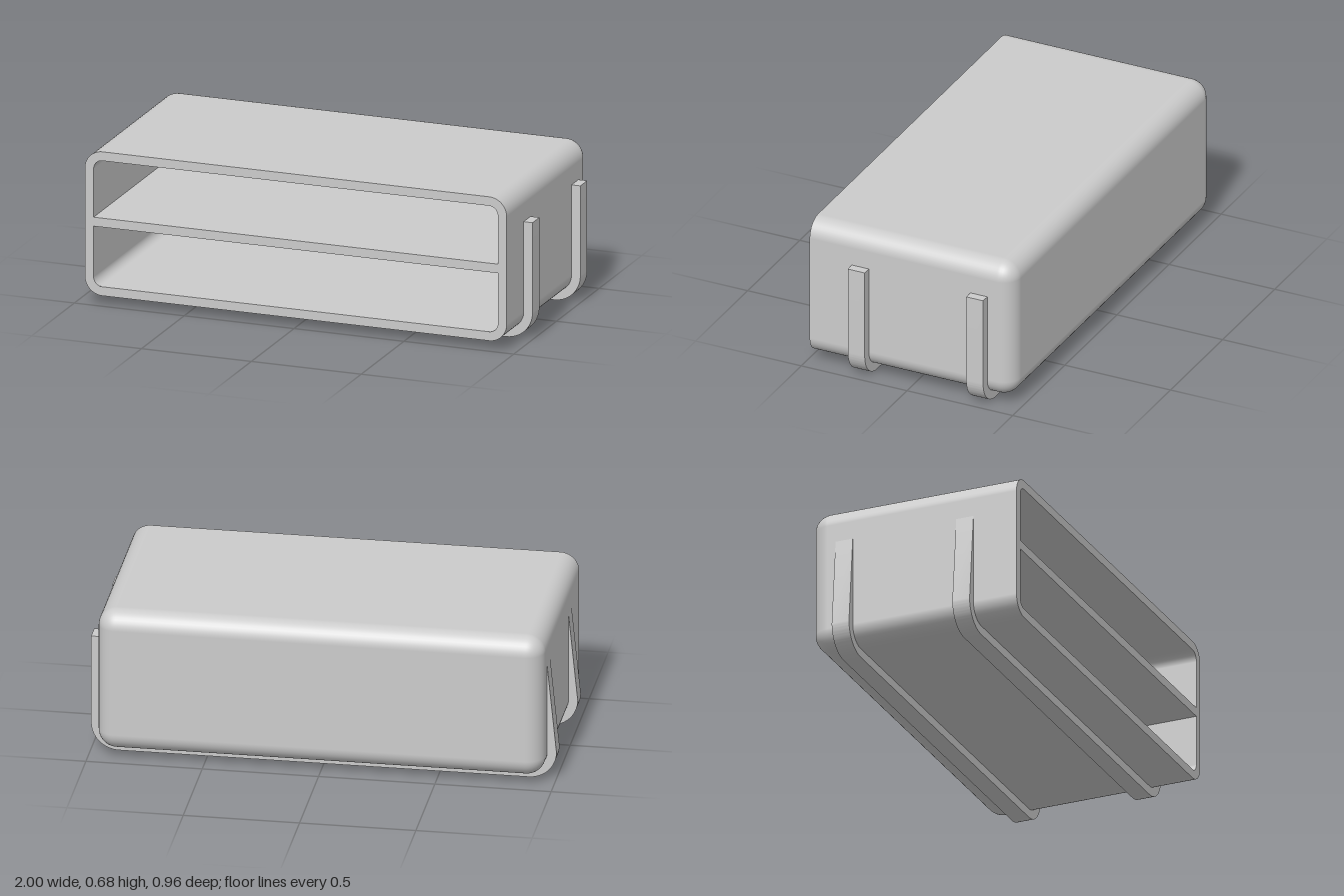
import * as THREE from 'three';
import { toCreasedNormals } from 'three/addons/utils/BufferGeometryUtils.js';

const MID_Y = 0.36;            // height of the box centre
const FRONT = 0.48, BACK = -0.48, WALL = 0.04;
const HALF_W = 0.96, HALF_H = 0.32, RADIUS = 0.08;
const material = new THREE.MeshStandardMaterial({ color: 0xcccccc });

// Surface of a box open at the front, rounded on its long edges and around the back.
function tubGeometry(hw, hh, r, back, inward) {
  const steps = 10, pos = [], nor = [], idx = [];
  const s = inward ? -1 : 1;
  const add = (x, y, z, nx, ny, nz) => {
    pos.push(x, y, z);
    nor.push(s * nx, s * ny, s * nz);
  };
  const tri = (a, b, c) => (inward ? idx.push(a, c, b) : idx.push(a, b, c));
  const perRing = 4 * (steps + 1), rings = steps + 2;
  for (let j = 0; j < rings; j++) {
    const phi = (Math.max(j - 1, 0) / steps) * Math.PI / 2;
    const z = j === 0 ? FRONT : back + r - r * Math.sin(phi);
    for (let corner = 0; corner < 4; corner++) {
      const cx = (corner === 0 || corner === 3 ? 1 : -1) * (hw - r);
      const cy = (corner < 2 ? 1 : -1) * (hh - r);
      for (let k = 0; k <= steps; k++) {
        const t = (corner + k / steps) * Math.PI / 2;
        const nx = Math.cos(phi) * Math.cos(t), ny = Math.cos(phi) * Math.sin(t);
        add(cx + r * nx, cy + r * ny, z, nx, ny, -Math.sin(phi));
      }
    }
  }
  const centre = perRing * rings;
  add(0, 0, back, 0, 0, -1);
  for (let i = 0; i < perRing; i++) {
    const n = (i + 1) % perRing;
    for (let j = 0; j < rings - 1; j++) {
      const a = j * perRing + i, b = j * perRing + n;
      tri(a, a + perRing, b);
      tri(b, a + perRing, b + perRing);
    }
    const last = (rings - 1) * perRing;
    tri(centre, last + n, last + i);
  }
  const g = new THREE.BufferGeometry();
  g.setAttribute('position', new THREE.Float32BufferAttribute(pos, 3));
  g.setAttribute('normal', new THREE.Float32BufferAttribute(nor, 3));
  g.setIndex(idx);
  return g;
}

// Rounded rectangle centred on the origin
function roundedRect(path, hw, hh, r) {
  const q = Math.PI / 2;
  path.absarc(hw - r, hh - r, r, 0, q);
  path.absarc(r - hw, hh - r, r, q, 2 * q);
  path.absarc(r - hw, r - hh, r, 2 * q, 3 * q);
  path.absarc(hw - r, r - hh, r, 3 * q, 4 * q);
  path.closePath();
  return path;
}

// U-shaped strap that hugs the sides and bottom of the box
function strapGeometry(width) {
  const top = 0.52, out = HALF_W + WALL, R = RADIUS + WALL, q = Math.PI / 2;
  const u = new THREE.Shape();
  u.moveTo(-out, top);
  u.absarc(R - out, R, R, 2 * q, 3 * q);
  u.absarc(out - R, R, R, 3 * q, 4 * q);
  u.lineTo(out, top);
  u.lineTo(HALF_W, top);
  u.absarc(out - R, R, RADIUS, 4 * q, 3 * q, true);
  u.absarc(R - out, R, RADIUS, 3 * q, 2 * q, true);
  u.lineTo(-HALF_W, top);
  u.closePath();
  const g = new THREE.ExtrudeGeometry(u, { depth: width, bevelEnabled: false, curveSegments: 16 });
  return toCreasedNormals(g, 0.5);
}

export function createModel() {
  const model = new THREE.Group();
  model.name = 'twoCompartmentBox';
  const add = (name, geometry, y, z) => {
    const mesh = new THREE.Mesh(geometry, material);
    mesh.name = name;
    mesh.position.set(0, y, z);
    model.add(mesh);
  };
  const iw = HALF_W - WALL, ih = HALF_H - WALL, ir = RADIUS - WALL;

  // Shell: outside, inside and the rim joining them
  add('outerShell', tubGeometry(HALF_W, HALF_H, RADIUS, BACK, false), MID_Y, 0);
  add('innerShell', tubGeometry(iw, ih, ir, BACK + WALL, true), MID_Y, 0);
  const rim = roundedRect(new THREE.Shape(), HALF_W, HALF_H, RADIUS);
  rim.holes.push(roundedRect(new THREE.Path(), iw, ih, ir));
  add('frontRim', new THREE.ShapeGeometry(rim, 10), MID_Y, FRONT);

  // Shelf dividing the two compartments
  const depth = FRONT - BACK - WALL;
  add('shelf', new THREE.BoxGeometry(2 * iw, 0.04, depth), 0.365, FRONT - depth / 2);

  // Straps underneath
  add('frontStrap', strapGeometry(0.08), 0, 0.2);
  add('backStrap', strapGeometry(0.08), 0, -0.36);
  return model;
}
